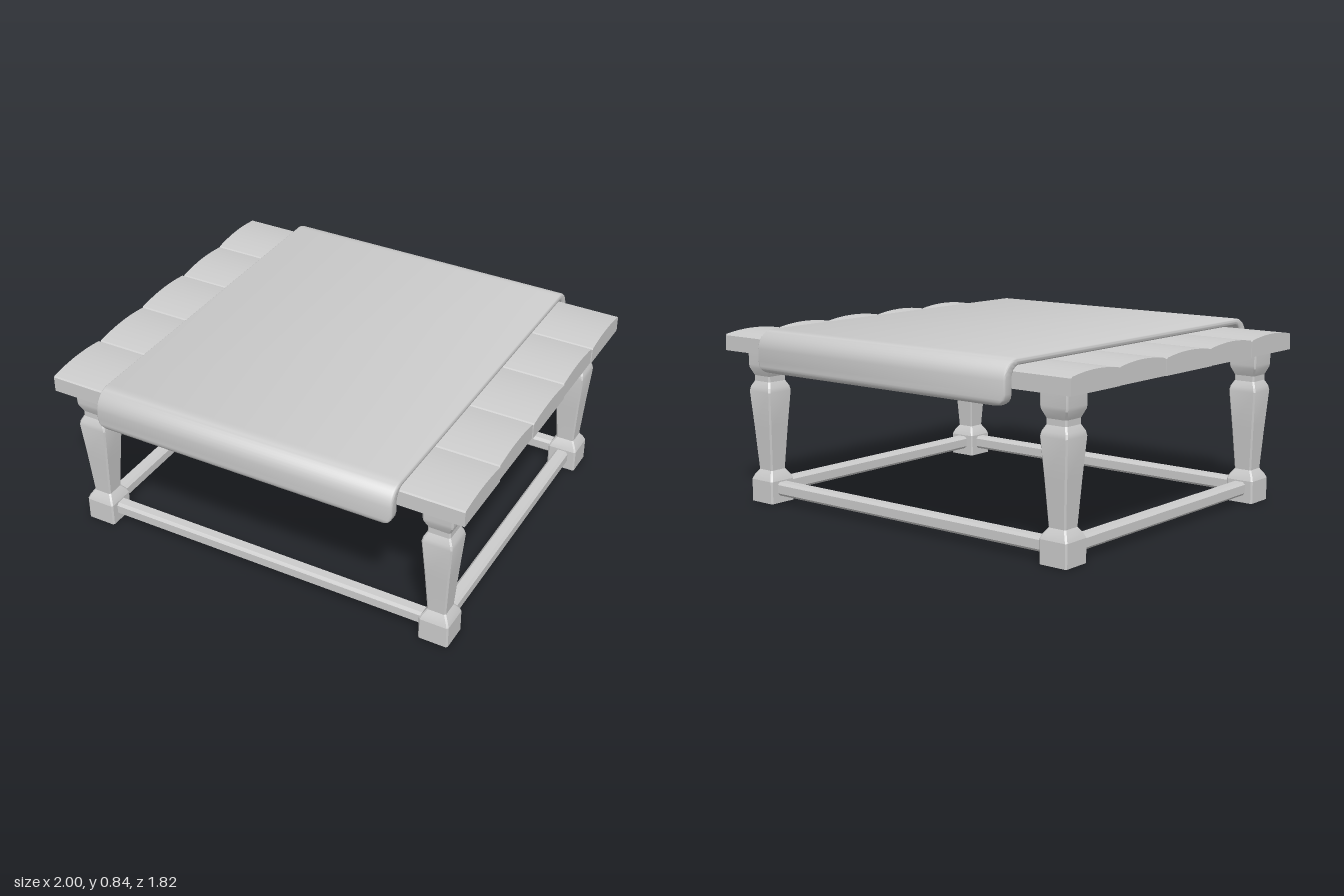
import * as THREE from 'three';
import { toCreasedNormals } from 'three/addons/utils/BufferGeometryUtils.js';

const material = new THREE.MeshStandardMaterial({ color: 0xcccccc, side: THREE.DoubleSide });

function add(parent, name, geometry, x = 0, y = 0, z = 0) {
  const mesh = new THREE.Mesh(geometry, material);
  mesh.name = name;
  mesh.position.set(x, y, z);
  parent.add(mesh);
  return mesh;
}

// Counter-clockwise rectangle outline with rounded (or, with steps = 1, chamfered) corners
function roundedRect(w, h, r, steps) {
  const points = [];
  for (let corner = 0; corner < 4; corner++) {
    const sx = corner === 0 || corner === 3 ? 1 : -1;
    const sy = corner < 2 ? 1 : -1;
    for (let i = 0; i <= steps; i++) {
      const a = (corner + i / steps) * Math.PI / 2;
      points.push([sx * (w - r) + r * Math.cos(a), sy * (h - r) + r * Math.sin(a)]);
    }
  }
  return points;
}

// Closed skin over a row of matching rings, with both ends capped
function loft(rings, crease) {
  const n = rings[0].length;
  const positions = [];
  const index = [];
  rings.forEach(ring => ring.forEach(p => positions.push(...p)));
  for (let i = 0; i < rings.length - 1; i++) {
    for (let j = 0; j < n; j++) {
      const a = i * n + j, b = i * n + (j + 1) % n;
      index.push(a, b, b + n, a, b + n, a + n);
    }
  }
  const last = (rings.length - 1) * n;
  for (let j = 1; j < n - 1; j++) {
    index.push(0, j + 1, j, last, last + j, last + j + 1);
  }
  const geometry = new THREE.BufferGeometry();
  geometry.setAttribute('position', new THREE.Float32BufferAttribute(positions, 3));
  geometry.setIndex(index);
  return toCreasedNormals(geometry, crease);
}

// Square leg with a foot block, a tapered shaft and a notched collar
function legGeometry() {
  const profile = [
    [0, 0.07], [0.105, 0.07], [0.125, 0.062], [0.152, 0.044], [0.35, 0.057],
    [0.525, 0.07], [0.545, 0.066], [0.572, 0.052], [0.598, 0.052],
    [0.635, 0.068], [0.65, 0.07], [0.73, 0.07],
  ];
  const rings = profile.map(([y, half]) =>
    roundedRect(half, half, 0.007, 1).map(([u, v]) => [v, y, u]));
  return loft(rings, 0.3);
}

// Chamfered rail running along x
function railGeometry(length) {
  const rings = [-length / 2, length / 2].map(x =>
    roundedRect(0.032, 0.032, 0.012, 1).map(([u, v]) => [x, u, v]));
  return loft(rings, 0.3);
}

// Board running along x with a gently crowned top
function plankGeometry(width, length) {
  const half = width / 2;
  const shape = new THREE.Shape();
  shape.moveTo(-half, 0);
  shape.lineTo(half, 0);
  shape.lineTo(half, 0.07);
  for (let i = 0; i <= 12; i++) {
    const t = 1 - i / 6;
    shape.lineTo(t * (half - 0.006), 0.09 - 0.014 * t * t);
  }
  shape.lineTo(-half, 0.07);
  shape.closePath();
  const geometry = new THREE.ExtrudeGeometry(shape, { depth: length, bevelEnabled: false });
  geometry.translate(0, 0, -length / 2).rotateY(Math.PI / 2);
  return toCreasedNormals(geometry, 0.5);
}

// Stations from one hanging hem up to the flat top: z, y, outward normal, thickness, hem distance
function clothHalf(side, bottom) {
  const centreZ = 0.815, centreY = 0.753, radius = 0.068;
  const stations = [];
  for (const d of [0, 0.003, 0.008, 0.016, 0.028, 0.05]) {
    const round = Math.min(1, 0.45 + 0.55 * Math.sqrt(d / 0.016));
    stations.push({ z: centreZ + radius, y: bottom + d, nz: 1, ny: 0, t: 0.028 * round, d });
  }
  for (let i = 0; i <= 10; i++) {
    const a = i / 10 * Math.PI / 2;
    const nz = Math.cos(a), ny = Math.sin(a);
    stations.push({
      z: centreZ + radius * nz, y: centreY + radius * ny, nz, ny,
      t: THREE.MathUtils.lerp(0.028, 0.015, i / 10), d: 1,
    });
  }
  stations.forEach(s => { s.z *= side; s.nz *= side; });
  return stations;
}

// Thick runner draped over the front and back edges, hem corners rounded
function clothGeometry() {
  const stations = [...clothHalf(-1, 0.648), ...clothHalf(1, 0.66).reverse()];
  const cornerRadius = 0.05;
  const rings = stations.map(s => {
    const k = Math.max(0, 1 - s.d / cornerRadius);
    const half = 0.717 - cornerRadius * (1 - Math.sqrt(1 - k * k));
    return roundedRect(half, s.t, Math.min(0.012, s.t * 0.8), 4)
      .map(([u, v]) => [u, s.y + s.ny * v, s.z + s.nz * v]);
  });
  return loft(rings, 0.7);
}

export function createModel() {
  const model = new THREE.Group();
  model.name = 'lowTable';

  // Table top of five boards
  const top = new THREE.Group();
  top.name = 'tableTop';
  model.add(top);
  const seams = [-0.85, -0.525, -0.195, 0.15, 0.49, 0.83];
  for (let i = 0; i < 5; i++) {
    const width = seams[i + 1] - seams[i];
    const length = i % 2 ? 1.99 : 2;
    add(top, 'plank', plankGeometry(width, length), 0, 0.715, (seams[i] + seams[i + 1]) / 2);
  }

  // Runner cloth
  add(model, 'runnerCloth', clothGeometry());

  // Legs and the rails joining their feet
  const legX = 0.86, legZ = 0.712;
  const leg = legGeometry();
  const longRail = railGeometry(2 * legX - 0.1);
  const sideRail = railGeometry(2 * legZ - 0.1);
  for (const side of [-1, 1]) {
    for (const x of [-legX, legX]) add(model, 'leg', leg, x, 0, side * legZ);
    add(model, side > 0 ? 'frontRail' : 'backRail', longRail, 0, 0.067, side * legZ);
    add(model, side > 0 ? 'leftRail' : 'rightRail', sideRail, side * legX, 0.067, 0)
      .rotation.y = Math.PI / 2;
  }
  return model;
}
